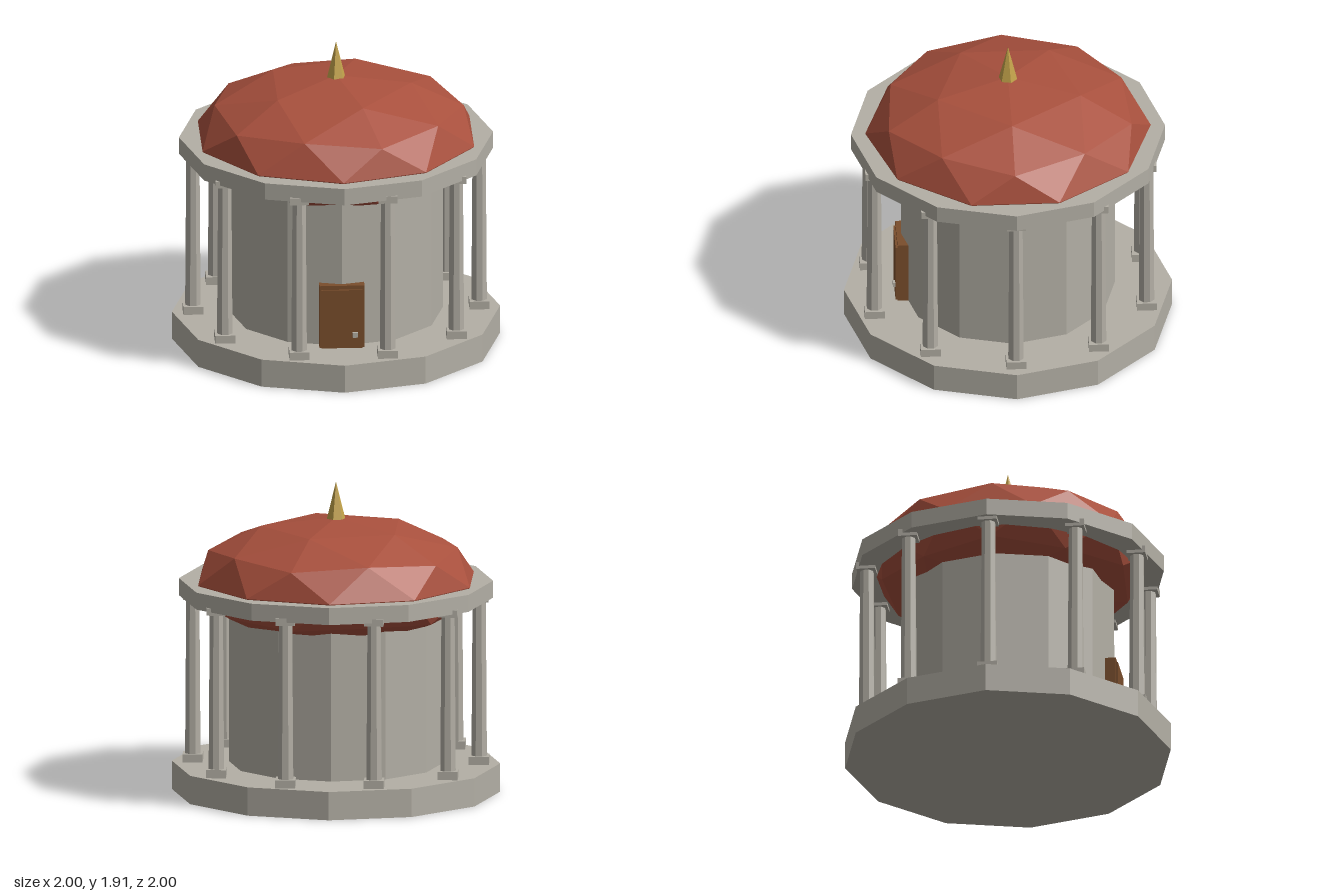
import * as THREE from 'three';

const mat = (name, color) => {
  const m = new THREE.MeshStandardMaterial({ color, flatShading: true });
  m.name = name;
  return m;
};

export function createModel() {
  const group = new THREE.Group();
  group.name = 'rotunda';
  const stone = mat('stone', 0xb3afa5);
  const terracotta = mat('terracotta', 0xa8503d);
  const wood = mat('wood', 0x7a4e2c);
  const gold = mat('gold', 0xc2a24a);

  const add = (name, geometry, material, x, y, z, parent = group) => {
    const mesh = new THREE.Mesh(geometry, material);
    mesh.name = name;
    mesh.position.set(x, y, z);
    parent.add(mesh);
    return mesh;
  };
  // Upright prism standing between two heights
  const prism = (name, rTop, rBottom, y0, y1, sides, material, parent = group, x = 0, z = 0) =>
    add(name, new THREE.CylinderGeometry(rTop, rBottom, y1 - y0, sides), material, x, (y0 + y1) / 2, z, parent);

  // Twelve-sided platform, wall and ring beam
  prism('platform', 1, 1, 0, 0.175, 12, stone);
  prism('wall', 0.652, 0.652, 0.175, 1.15, 12, stone);
  prism('ringBeam', 0.957, 0.957, 1.2, 1.305, 12, stone);

  // Faceted dome: a flattened icosphere with a vertex at the top
  const domeGeo = new THREE.IcosahedronGeometry(1, 1);
  domeGeo.rotateZ(-Math.atan(2 / (1 + Math.sqrt(5))));
  domeGeo.scale(0.87, 0.38, 0.87);
  domeGeo.computeVertexNormals();
  add('dome', domeGeo, terracotta, 0, 1.31, 0);

  // Finial
  prism('finial', 0, 0.058, 1.68, 1.91, 6, gold).rotation.y = -Math.PI / 12;

  // Ten columns with square plinths and caps, all square to the axes
  const plinthGeo = new THREE.BoxGeometry(0.122, 0.05, 0.122);
  const capGeo = new THREE.BoxGeometry(0.116, 0.045, 0.116);
  for (let i = 0; i < 10; i++) {
    const a = (i * Math.PI) / 5;
    const x = 0.872 * Math.cos(a), z = 0.872 * Math.sin(a);
    const column = new THREE.Group();
    column.name = 'column';
    add('plinth', plinthGeo, stone, x, 0.2, z, column);
    prism('shaft', 0.043, 0.05, 0.225, 1.18, 8, stone, column, x, z).rotation.y = Math.PI / 8;
    add('cap', capGeo, stone, x, 1.2025, z, column);
    group.add(column);
  }

  // Door with frame, raised panel and knob
  const door = new THREE.Group();
  door.name = 'door';
  add('doorFrame', new THREE.BoxGeometry(0.275, 0.4, 0.1), wood, 0, 0.375, 0.63, door);
  add('doorPanel', new THREE.BoxGeometry(0.25, 0.375, 0.04), wood, 0, 0.3625, 0.672, door);
  add('doorKnob', new THREE.BoxGeometry(0.032, 0.032, 0.02), stone, 0.08, 0.262, 0.696, door);
  group.add(door);

  return group;
}
